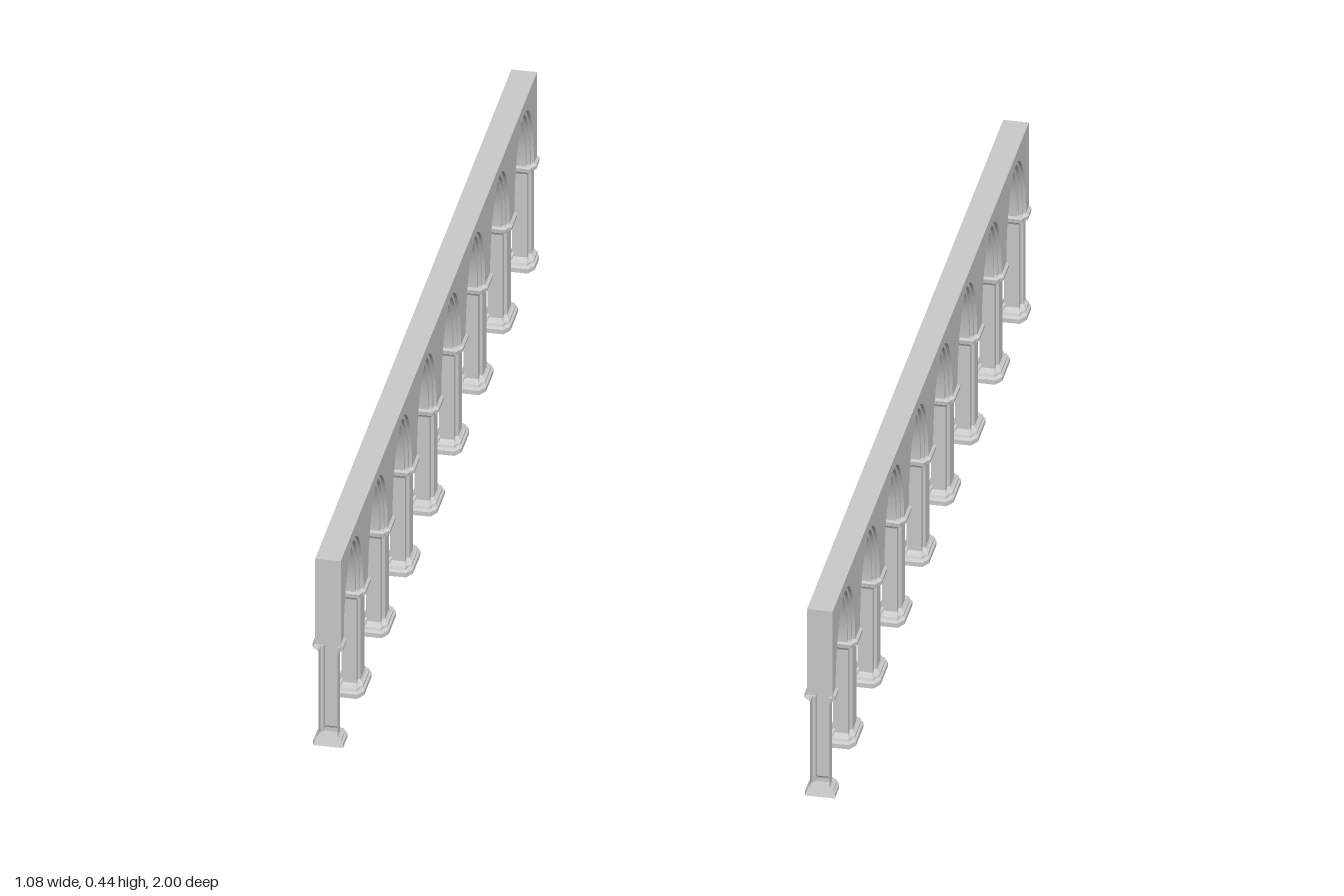
import * as THREE from 'three';
import { toCreasedNormals } from 'three/addons/utils/BufferGeometryUtils.js';

const PITCH = 0.2485, BAYS = 8, SPRING = 0.238, TOP = 0.438, ROW_X = 0.508;

const material = new THREE.MeshStandardMaterial({ color: 0xcccccc });
const pierMaterial = new THREE.MeshStandardMaterial({
  color: 0xcccccc, flatShading: true, side: THREE.DoubleSide,
});

// Pier profile, bottom to top: [y, half x, half z, corner x, corner z, corner depth]
// corner depth 0.5 is a chamfer, 1 is a square notch
const PIER = [
  [0, 0, 0.056, 0, 0.018, 0.5],
  [0, 0.031, 0.056, 0.011, 0.018, 0.5],
  [0.01, 0.031, 0.056, 0.011, 0.018, 0.5],
  [0.013, 0.027, 0.049, 0.010, 0.018, 0.6],
  [0.018, 0.027, 0.047, 0.010, 0.018, 0.6],
  [0.021, 0.023, 0.040, 0.008, 0.017, 0.8],
  [0.025, 0.020, 0.035, 0.006, 0.016, 1],
  [0.220, 0.020, 0.035, 0.006, 0.016, 1],
  [0.224, 0.023, 0.037, 0.007, 0.016, 0.8],
  [0.229, 0.031, 0.044, 0.010, 0.017, 0.6],
  [0.238, 0.032, 0.045, 0.010, 0.017, 0.6],
  [0.242, 0.028, 0.042, 0.009, 0.017, 0.6],
  [0.242, 0, 0.042, 0, 0.017, 0.6],
];

// Half of a pier on the +z side, open at its cut face
function halfPier(cut) {
  const pos = [], index = [], n = 8;
  for (const [y, hx, hz, cx, cz, k] of PIER) {
    const side = [[hx, -cut], [hx, hz - cz], [hx - cx * k, hz - cz * (1 - k)], [hx - cx, hz]];
    // a full notch puts the middle point on the inner corner
    if (k > 0.5) side[2] = [hx - cx * k, hz - cz * k];
    const mirrored = side.map(([x, z]) => [-x, z]).reverse();
    for (const [x, z] of [...side, ...mirrored]) pos.push(x, y, z);
  }
  for (let j = 0; j < PIER.length - 1; j++) {
    for (let i = 0; i < n - 1; i++) {
      const a = j * n + i, b = a + n;
      index.push(a, b, a + 1, b, b + 1, a + 1);
    }
  }
  const g = new THREE.BufferGeometry();
  g.setAttribute('position', new THREE.Float32BufferAttribute(pos, 3));
  g.setIndex(index);
  g.computeVertexNormals();
  return g;
}

// One layer of the arcade wall, pierced by all the arches
function archLayer(halfWidth, apex, depth, inset) {
  const s = new THREE.Shape();
  const end = 1 - inset, top = TOP - inset;
  s.moveTo(-end, SPRING);
  for (let i = 0; i < BAYS; i++) {
    const c = (i + 0.5 - BAYS / 2) * PITCH;
    s.lineTo(c - halfWidth, SPRING);
    s.absellipse(c, SPRING, halfWidth, apex - SPRING, Math.PI, 0, true);
  }
  s.lineTo(end, SPRING);
  s.lineTo(end, top);
  s.lineTo(-end, top);
  s.closePath();
  const g = new THREE.ExtrudeGeometry(s, { depth, bevelEnabled: false, curveSegments: 28 });
  g.translate(0, 0, -depth / 2);
  g.rotateY(-Math.PI / 2);
  return toCreasedNormals(g, 0.5);
}

export function createModel() {
  const model = new THREE.Group();
  model.name = 'arcades';

  // Stepped arch orders, from the wall face inwards
  const layers = [
    ['wall', archLayer(0.100, 0.414, 0.053, 0)],
    ['middleArchOrder', archLayer(0.092, 0.405, 0.040, 0.001)],
    ['innerArchOrder', archLayer(0.084, 0.395, 0.026, 0.002)],
  ];
  const half = halfPier(0);
  const endHalf = halfPier(1 - (BAYS / 2) * PITCH);

  for (const sx of [-1, 1]) {
    const row = new THREE.Group();
    row.name = sx > 0 ? 'leftArcade' : 'rightArcade';
    row.position.x = sx * ROW_X;

    for (const [name, geometry] of layers) {
      const mesh = new THREE.Mesh(geometry, material);
      mesh.name = name;
      row.add(mesh);
    }

    // Whole piers between bays, half piers cut off at both ends
    for (let i = 0; i <= BAYS; i++) {
      const pier = new THREE.Group();
      pier.name = i % BAYS ? 'pier' : 'endPier';
      pier.position.z = (i - BAYS / 2) * PITCH;
      for (const turn of [0, Math.PI]) {
        if ((i === 0 && turn) || (i === BAYS && !turn)) continue;
        const mesh = new THREE.Mesh(i % BAYS ? half : endHalf, pierMaterial);
        mesh.name = 'pierHalf';
        mesh.rotation.y = turn;
        pier.add(mesh);
      }
      row.add(pier);
    }
    model.add(row);
  }
  return model;
}
